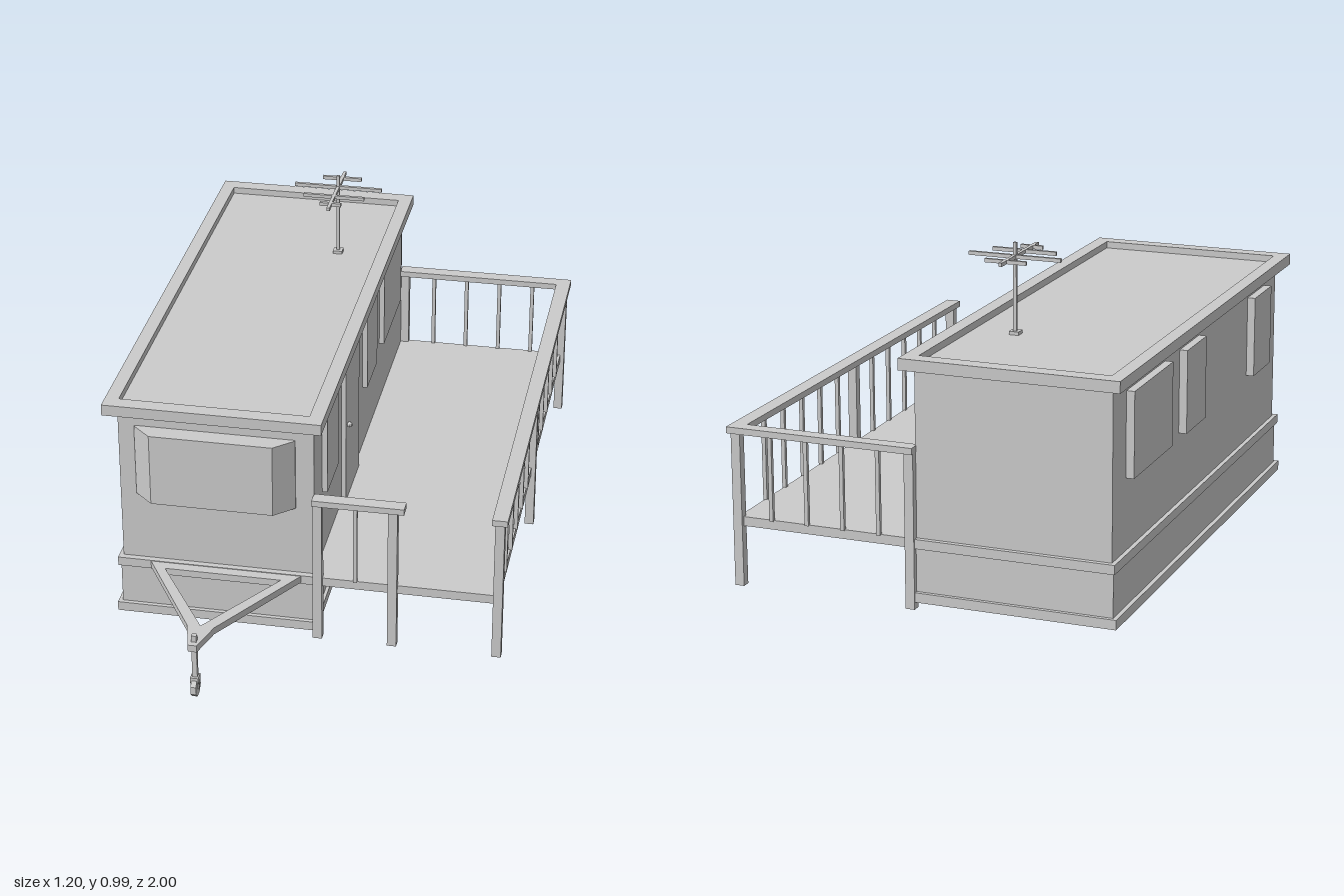
import * as THREE from 'three';

const mat = new THREE.MeshStandardMaterial({ color: 0xcccccc, flatShading: true });

export function createModel() {
  const model = new THREE.Group();

  const add = (name, geo, parent = model) => {
    const mesh = new THREE.Mesh(geo, mat);
    mesh.name = name;
    parent.add(mesh);
    return mesh;
  };
  // Box given by its limits on each axis
  const box = (name, x0, x1, y0, y1, z0, z1, parent) => {
    const mesh = add(name, new THREE.BoxGeometry(x1 - x0, y1 - y0, z1 - z0), parent);
    mesh.position.set((x0 + x1) / 2, (y0 + y1) / 2, (z0 + z1) / 2);
    return mesh;
  };
  // Plan outline in (x, z), counter-clockwise from above, extruded upward from y0 to y1
  const plan = (name, outline, hole, y0, y1) => {
    const pts = (list) => list.map(([x, z]) => new THREE.Vector2(x, -z));
    const shape = new THREE.Shape(pts(outline));
    if (hole) shape.holes.push(new THREE.Path(pts(hole)));
    const geo = new THREE.ExtrudeGeometry(shape, { depth: y1 - y0, bevelEnabled: false });
    geo.rotateX(-Math.PI / 2).translate(0, y0, 0);
    return add(name, geo);
  };
  const rect = (x0, x1, z0, z1) => [[x0, z0], [x0, z1], [x1, z1], [x1, z0]];
  // Square bar between two points
  const bar = (name, a, b, w, parent) => {
    const p = new THREE.Vector3(...a), q = new THREE.Vector3(...b);
    const mesh = add(name, new THREE.BoxGeometry(w, w, p.distanceTo(q)), parent);
    mesh.position.copy(p).lerp(q, 0.5);
    mesh.lookAt(q);
    return mesh;
  };
  const group = (name) => {
    const g = new THREE.Group();
    g.name = name;
    model.add(g);
    return g;
  };

  // Cabin, floor and hollow skirt
  box('cabinBody', -0.562, 0.022, 0.205, 0.706, -0.955, 0.566);
  box('cabinFloor', -0.575, 0.027, 0.18, 0.208, -0.97, 0.585);
  plan('skirt', rect(-0.568, 0.022, -0.96, 0.575), rect(-0.558, 0.012, -0.95, 0.565), 0.04, 0.18);
  plan('skirtTrim', rect(-0.581, 0.032, -0.972, 0.588), rect(-0.558, 0.012, -0.95, 0.565), 0.021, 0.05);

  // Flat roof with raised rim
  box('roofDeck', -0.58, 0.03, 0.706, 0.718, -0.98, 0.585);
  plan('roofRim', rect(-0.598, 0.052, -1, 0.609), rect(-0.557, 0.009, -0.951, 0.562), 0.705, 0.739);

  // Side windows on both walls
  const windows = group('sideWindows');
  for (const [z0, z1] of [[0.27, 0.445], [-0.392, -0.215], [-0.848, -0.52]]) {
    box('windowRight', 0.01, 0.038, 0.42, 0.67, z0, z1, windows);
    box('windowLeft', -0.586, -0.555, 0.42, 0.67, z0, z1, windows);
  }

  // Door and knob
  box('door', 0.01, 0.036, 0.21, 0.68, -0.082, 0.14);
  add('doorKnob', new THREE.SphereGeometry(0.009, 8, 6)).position.set(0.043, 0.469, 0.115);

  // Angled bay window at the front
  plan('bayWindow', [[-0.513, 0.56], [-0.513, 0.57], [-0.456, 0.623], [-0.09, 0.623],
    [-0.033, 0.57], [-0.033, 0.56]], null, 0.43, 0.657);

  // Deck and posts
  box('deckFloor', 0.02, 0.575, 0.18, 0.208, -0.965, 0.585);
  const railing = group('railing');
  for (const [x, z] of [[0.035, 0.583], [0.26, 0.583], [0.574, 0.583],
    [0.574, -0.185], [0.574, -0.963], [0.035, -0.963]]) {
    box('deckPost', x - 0.014, x + 0.014, 0, 0.462, z - 0.013, z + 0.013, railing);
  }
  // Hand rails
  box('sideRail', 0.552, 0.598, 0.46, 0.479, -0.985, 0.609, railing);
  box('backRail', 0.02, 0.552, 0.46, 0.479, -0.985, -0.942, railing);
  box('frontRail', 0.02, 0.294, 0.46, 0.479, 0.558, 0.6, railing);
  // Balusters evenly spaced between two ends
  const balusters = (x0, z0, x1, z1, n) => {
    for (let i = 1; i <= n; i++) {
      const t = i / (n + 1), x = x0 + (x1 - x0) * t, z = z0 + (z1 - z0) * t;
      box('baluster', x - 0.006, x + 0.006, 0.205, 0.462, z - 0.006, z + 0.006, railing);
    }
  };
  balusters(0.574, 0.565, 0.574, -0.175, 5);
  balusters(0.574, -0.18, 0.574, -0.92, 5);
  balusters(0.022, -0.963, 0.582, -0.963, 4);
  balusters(0.035, 0.583, 0.26, 0.583, 1);

  // Tow frame
  plan('towFrame', [[-0.476, 0.58], [-0.286, 0.9], [-0.26, 1], [-0.234, 1], [-0.206, 0.9], [-0.013, 0.58]],
    [[-0.422, 0.617], [-0.247, 0.897], [-0.07, 0.617]], 0.184, 0.206);

  // Jack with a small wheel
  const jack = group('towJack');
  box('jackPole', -0.254, -0.239, 0.08, 0.226, 0.968, 0.982, jack);
  box('jackFork', -0.259, -0.235, 0.068, 0.086, 0.96, 0.99, jack);
  for (const x of [-0.257, -0.237]) {
    box('forkArm', x - 0.002, x + 0.002, 0.045, 0.07, 0.967, 0.983, jack);
  }
  const jackWheel = add('jackWheel', new THREE.CylinderGeometry(0.032, 0.032, 0.016, 8), jack);
  jackWheel.rotation.set(Math.PI / 8, 0, Math.PI / 2);
  jackWheel.position.set(-0.247, 0.051, 0.974);

  // Road wheels behind the skirt
  for (const x of [-0.495, -0.053]) {
    for (const z of [-0.41, -0.58]) {
      const wheel = add('roadWheel', new THREE.CylinderGeometry(0.08, 0.08, 0.05, 20));
      wheel.rotation.z = Math.PI / 2;
      wheel.position.set(x, 0.102, z);
    }
  }

  // Corner support under the floor
  const support = group('cornerSupport');
  box('supportFoot', -0.55, -0.49, 0.06, 0.075, 0.34, 0.4, support);
  bar('supportStrut', [-0.52, 0.07, 0.37], [-0.52, 0.185, 0.27], 0.018, support);
  bar('supportStrut', [-0.52, 0.07, 0.37], [-0.44, 0.185, 0.37], 0.018, support);

  // Roof antenna
  const antenna = group('antenna');
  box('antennaBase', -0.138, -0.108, 0.716, 0.728, -0.58, -0.55, antenna);
  box('antennaMast', -0.128, -0.118, 0.718, 0.988, -0.571, -0.561, antenna);
  box('antennaBoom', -0.128, -0.118, 0.941, 0.952, -0.68, -0.395, antenna);
  for (const [z, half] of [[-0.638, 0.063], [-0.568, 0.141], [-0.493, 0.098], [-0.435, 0.034]]) {
    box('antennaRod', -0.123 - half, -0.123 + half, 0.941, 0.952, z - 0.005, z + 0.005, antenna);
  }

  return model;
}
